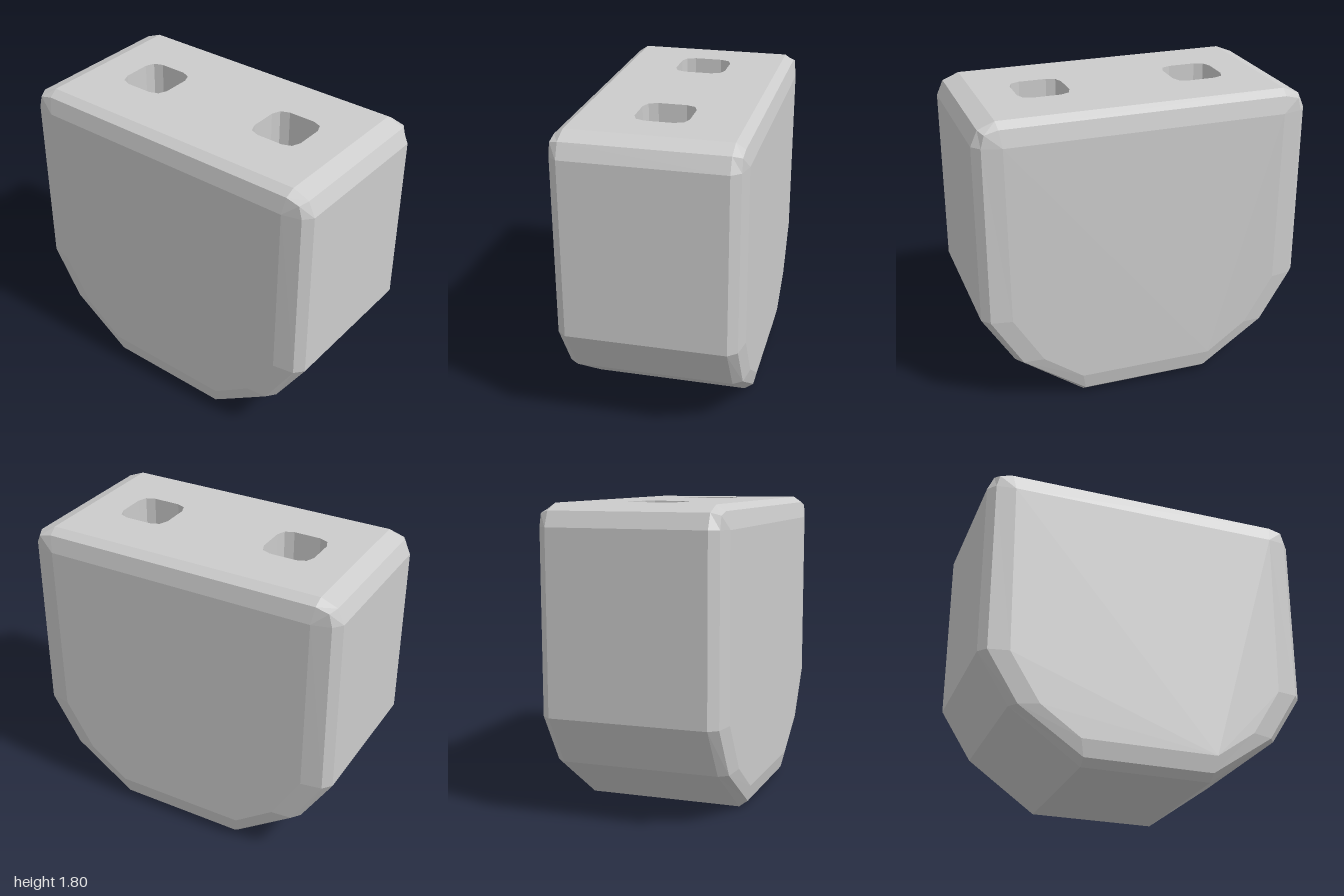
import * as THREE from 'three';

const material = new THREE.MeshStandardMaterial({ color: 0xcccccc, flatShading: true });

// Skins matching rings of points, with optional convex end caps; skip(i, j) leaves a quad open
function loft(rings, { capFirst = true, skip = () => false } = {}) {
  const pos = [];
  const tri = (a, b, c) => {
    if (new THREE.Triangle(a, b, c).getArea() > 1e-7) pos.push(...a, ...b, ...c);
  };
  const fan = (r) => { for (let j = 1; j < r.length - 1; j++) tri(r[0], r[j], r[j + 1]); };
  for (let i = 0; i < rings.length - 1; i++) {
    const near = rings[i], far = rings[i + 1];
    near.forEach((a, j) => {
      if (skip(i, j)) return;
      const k = (j + 1) % near.length;
      tri(a, far[j], near[k]);
      tri(near[k], far[j], far[k]);
    });
  }
  if (capFirst) fan(rings[0]);
  fan([...rings[rings.length - 1]].reverse());
  const g = new THREE.BufferGeometry();
  g.setAttribute('position', new THREE.Float32BufferAttribute(pos, 3));
  g.computeVertexNormals();
  return g;
}

function addMesh(group, geometry, name) {
  const mesh = new THREE.Mesh(geometry, material);
  mesh.name = name;
  group.add(mesh);
  return mesh;
}

// Right half of the outline, bottom to top, at each step of the edge bevel
const outer = [[0.39, 0], [0.81, 0.3], [1, 0.6], [1, 1.67], [0.96, 1.76], [0.86, 1.8]];
const middle = [[0.39, 0.04], [0.77, 0.3], [0.955, 0.6], [0.955, 1.67], [0.935, 1.745], [0.855, 1.765]];
const face = [[0.41, 0.14], [0.65, 0.31], [0.83, 0.6], [0.84, 1.665], [0.84, 1.665], [0.84, 1.665]];

function outlineRing(half, z) {
  const mirrored = half.map(([x, y]) => [-x, y]).reverse();
  return [...half, ...mirrored].map(([x, y]) => new THREE.Vector3(x, y, z));
}

// Square with two-step cut corners: half width, corner point, end of the straight side
function socketPoints(half, corner, straight) {
  const pts = [];
  for (let q = 0; q < 4; q++) {
    for (const [x, y] of [[half, straight], [corner, corner], [straight, half]]) {
      pts.push(new THREE.Vector2(x, y).rotateAround(new THREE.Vector2(), q * Math.PI / 2));
    }
  }
  return pts;
}

export function createModel() {
  const group = new THREE.Group();
  group.name = 'block';
  const top = 1.8, topX = 0.86, topZ = 0.47, socketX = 0.48, depth = 0.5;

  // Bevelled body, open on its flat top
  const body = loft([
    outlineRing(face, 0.545), outlineRing(middle, 0.523), outlineRing(outer, topZ),
    outlineRing(outer, -topZ), outlineRing(middle, -0.523), outlineRing(face, -0.545),
  ], { skip: (i, j) => i === 2 && j === outer.length - 1 });
  addMesh(group, body, 'body');

  // Flat top with two socket openings
  const rim = socketPoints(0.157, 0.136, 0.083);
  const shape = new THREE.Shape([[-topX, -topZ], [topX, -topZ], [topX, topZ], [-topX, topZ]]
    .map(([x, y]) => new THREE.Vector2(x, y)));
  for (const side of [-1, 1]) {
    shape.holes.push(new THREE.Path(rim.map((p) => new THREE.Vector2(p.x + side * socketX, p.y))));
  }
  const topPlate = addMesh(group, new THREE.ShapeGeometry(shape), 'topFace');
  topPlate.rotation.x = -Math.PI / 2;
  topPlate.position.y = top;

  // Blind sockets with bevelled floors
  const levels = [
    [rim, top],
    [rim, top - depth + 0.08],
    [socketPoints(0.135, 0.12, 0.083), top - depth + 0.022],
    [socketPoints(0.083, 0.083, 0.083), top - depth],
  ];
  const socket = loft(levels.map(([pts, y]) => pts.map((p) => new THREE.Vector3(p.x, y, p.y))),
    { capFirst: false });
  for (const [side, name] of [[1, 'leftSocket'], [-1, 'rightSocket']]) {
    addMesh(group, socket, name).position.x = side * socketX;
  }
  return group;
}
